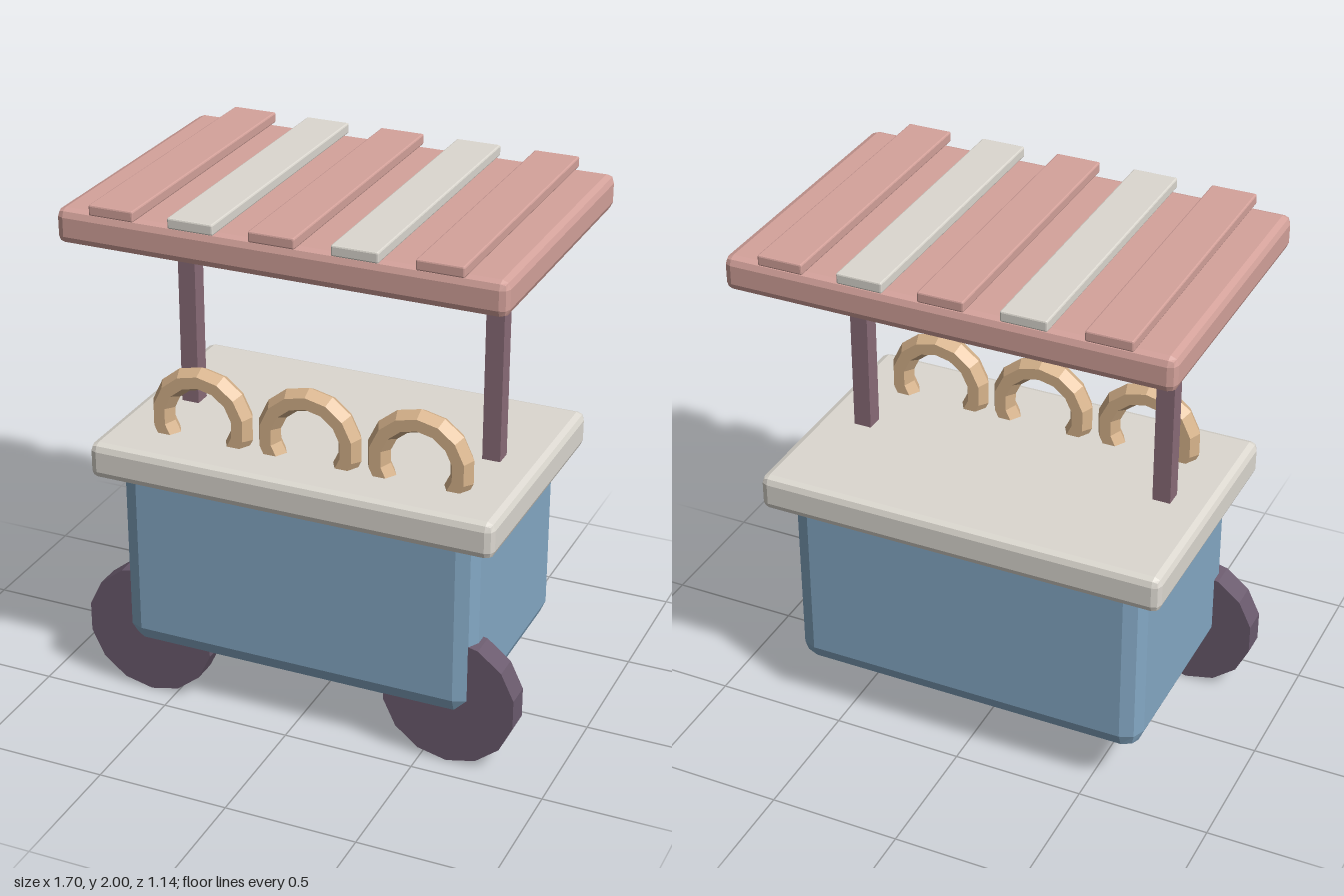
import * as THREE from 'three';
import { RoundedBoxGeometry } from 'three/addons/geometries/RoundedBoxGeometry.js';

const mat = (color) => new THREE.MeshStandardMaterial({ color, flatShading: true });

export function createModel() {
  const cart = new THREE.Group();
  cart.name = 'foodCart';
  const blue = mat(0x84a8c4), cream = mat(0xdcd8d0), pink = mat(0xd4a29b);
  const plum = mat(0x6b5b6e), wood = mat(0x8a6c78), dough = mat(0xd8b48c);

  const add = (name, geometry, material, x, y, z) => {
    const mesh = new THREE.Mesh(geometry, material);
    mesh.name = name;
    mesh.position.set(x, y, z);
    cart.add(mesh);
    return mesh;
  };
  // Box with a two-step bevel, placed by its bottom and top heights
  const block = (name, material, w, y0, y1, d, bevel, x = 0, z = -0.005) =>
    add(name, new RoundedBoxGeometry(w, y1 - y0, d, 1, bevel), material, x, (y0 + y1) / 2, z);

  // Body, counter and roof
  block('body', blue, 1.39, 0.2, 1.0, 0.872, 0.07);
  block('counter', cream, 1.56, 0.9, 1.04, 0.992, 0.03);
  block('roof', pink, 1.655, 1.83, 1.96, 1.116, 0.03);

  // Roof slats in alternating colours
  for (let i = -2; i <= 2; i++) {
    block('roofSlat', i % 2 ? cream : pink, 0.17, 1.96, 2.0, 1.136, 0.006, i * 0.3, 0);
  }

  // Roof posts and wheels, mirrored left and right
  const postGeometry = new THREE.BoxGeometry(0.068, 0.86, 0.068);
  const wheelGeometry = new THREE.CylinderGeometry(0.256, 0.256, 0.098, 14).rotateX(Math.PI / 2);
  for (const side of [-1, 1]) {
    const label = side > 0 ? 'left' : 'right';
    add(label + 'Post', postGeometry, wood, side * 0.6, 1.43, -0.005);
    add(label + 'Wheel', wheelGeometry, plum, side * 0.6, 0.256, 0.362);
  }

  // Ring pastries standing half sunk in the counter
  const ringGeometry = new THREE.TorusGeometry(0.16, 0.045, 6, 14)
    .rotateZ(Math.PI / 2)
    .scale(1, 1, 1.09);
  for (const x of [-0.425, 0, 0.425]) add('ringPastry', ringGeometry, dough, x, 1.11, 0.268);

  return cart;
}
